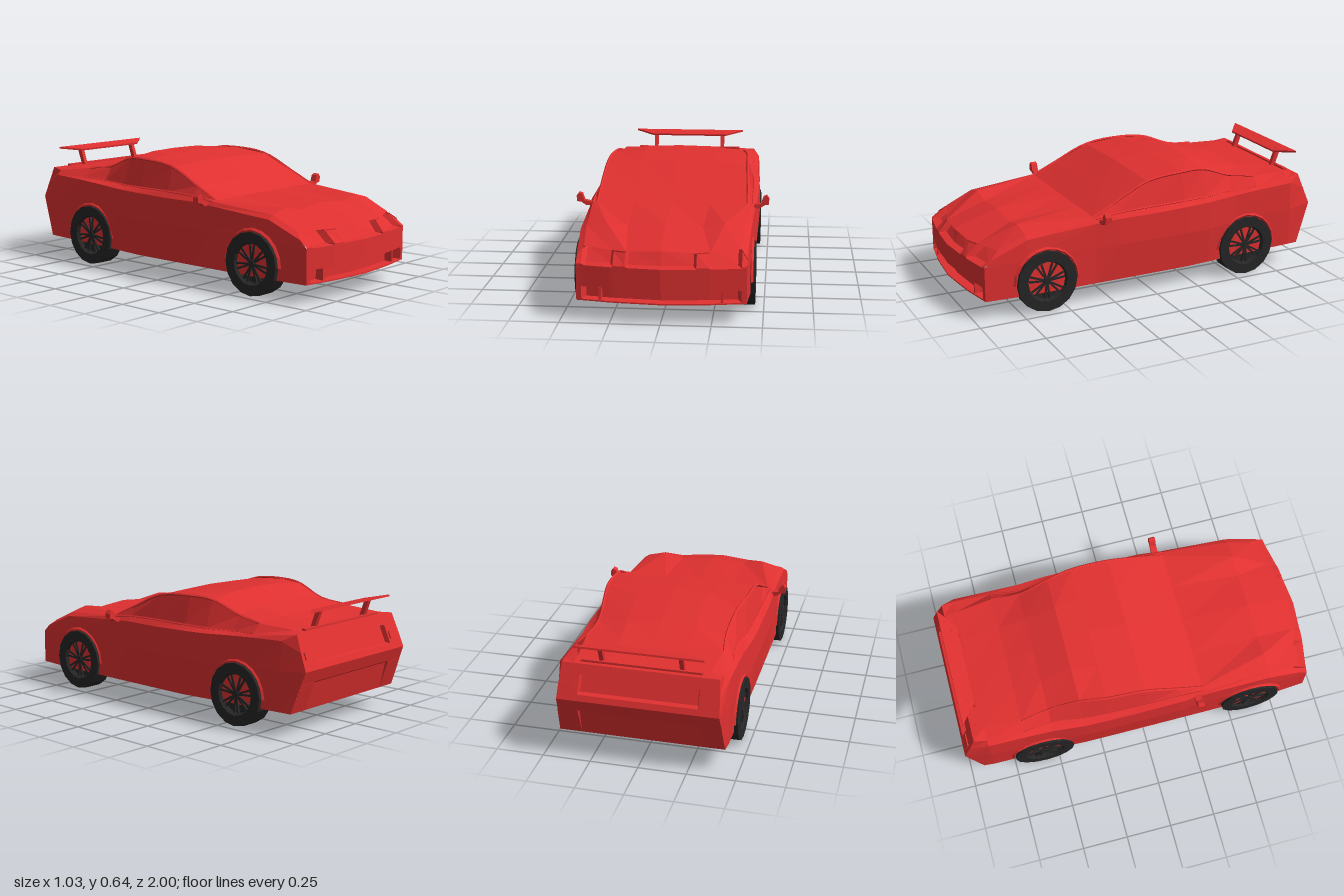
import * as THREE from 'three';

const paint = new THREE.MeshStandardMaterial({ color: 0xe03030, flatShading: true });
const rubber = new THREE.MeshStandardMaterial({ color: 0x262626, flatShading: true });

// Joins rows of [x, y, z] points into a faceted surface.
function grid(rows) {
  const pos = [];
  for (let i = 0; i < rows.length - 1; i++) {
    for (let j = 0; j < rows[i].length - 1; j++) {
      const a = rows[i][j], b = rows[i][j + 1], c = rows[i + 1][j + 1], d = rows[i + 1][j];
      pos.push(...a, ...d, ...c, ...a, ...c, ...b);
    }
  }
  const g = new THREE.BufferGeometry();
  g.setAttribute('position', new THREE.Float32BufferAttribute(pos, 3));
  g.computeVertexNormals();
  return g;
}

// Linear lookup in a list of [key, value...] rows with rising keys.
function lookup(list, k, n) {
  let i = 1;
  while (i < list.length - 1 && k > list[i][0]) i++;
  const p = list[i - 1], q = list[i];
  return p[n] + (q[n] - p[n]) * (k - p[0]) / (q[0] - p[0]);
}

const mirrorPoint = ([x, y, z]) => [-x, y, z];

// Half sections, front to back: sill, flank, shoulder, belt, roof edge, roof quarter, centre.
const SECTIONS = [
  [0.71, [0.437, 0.10], [0.437, 0.30], [0.43, 0.40], [0.40, 0.42], [0.30, 0.445], [0.19, 0.42], [0, 0.437]],
  [0.33, [0.44, 0.10], [0.442, 0.30], [0.44, 0.43], [0.425, 0.45], [0.40, 0.455], [0.20, 0.455], [0, 0.455]],
  [0.20, [0.44, 0.10], [0.455, 0.30], [0.45, 0.44], [0.425, 0.465], [0.396, 0.515], [0.20, 0.518], [0, 0.52]],
  [0.01, [0.44, 0.10], [0.457, 0.30], [0.452, 0.44], [0.425, 0.47], [0.387, 0.60], [0.20, 0.607], [0, 0.612]],
  [-0.20, [0.44, 0.10], [0.457, 0.30], [0.452, 0.445], [0.42, 0.47], [0.38, 0.62], [0.20, 0.63], [0, 0.635]],
  [-0.34, [0.44, 0.105], [0.455, 0.30], [0.45, 0.45], [0.41, 0.47], [0.357, 0.612], [0.18, 0.636], [0, 0.64]],
  [-0.51, [0.435, 0.11], [0.44, 0.31], [0.436, 0.46], [0.39, 0.475], [0.34, 0.55], [0.18, 0.575], [0, 0.58]],
  [-0.66, [0.435, 0.115], [0.438, 0.32], [0.435, 0.47], [0.41, 0.485], [0.36, 0.53], [0.18, 0.54], [0, 0.542]],
  [-0.86, [0.435, 0.12], [0.442, 0.33], [0.435, 0.48], [0.41, 0.505], [0.34, 0.52], [0.18, 0.522], [0, 0.522]],
];
// Front edge of the hood: x, y, z.
const HOOD_EDGE = [[0, 0.36, 0.95], [0.17, 0.35, 0.935], [0.24, 0.35, 0.91], [0.39, 0.355, 0.86], [0.42, 0.32, 0.90]];
// Plan curve of the front bumper: x, z.
const BUMPER = [[0, 0.995], [0.17, 0.98], [0.24, 0.973], [0.39, 0.945], [0.42, 0.94]];

function bodyShell() {
  const [c, q, e, g, s] = HOOD_EDGE;
  const nose = [[0, 0.10, 0.995], [0.42, 0.10, 0.94], [0.42, 0.28, 0.94], s, g, e, q, c];
  const tail = [[0, 0.12, -0.92], [0.43, 0.12, -0.92], [0.415, 0.34, -1], [0.408, 0.43, -0.964],
    [0.40, 0.515, -0.93], [0.34, 0.515, -0.93], [0.18, 0.515, -0.93], [0, 0.515, -0.93]];
  const middle = SECTIONS.map(([z, ...pts]) => [[0, pts[0][1], z], ...pts.map(([x, y]) => [x, y, z])]);
  const rings = [nose, ...middle, tail].map(h => [...h, ...h.slice(0, -1).reverse().map(mirrorPoint)]);
  return grid(rings);
}

// Front face with recessed grille, headlights and lower intake.
function frontFascia() {
  // x, upper recess depth, lower recess depth
  const half = [[0, 0.04, 0.05], [0.16, 0.04, 0.05], [0.175, 0, 0.05], [0.235, 0, 0.05], [0.25, 0.045, 0.05],
    [0.375, 0.045, 0.05], [0.395, 0, 0], [0.42, 0, 0]];
  const columns = half.map(([x, d, low]) => {
    const y = lookup(HOOD_EDGE, x, 1), z = lookup(HOOD_EDGE, x, 2), b = lookup(BUMPER, x, 1);
    return [[x, y, z], [x, y - 0.006, z - d], [x, 0.287, b - d], [x, 0.28, b], [x, 0.172, b],
      [x, 0.165, b - low], [x, 0.11, b - low], [x, 0.107, b], [x, 0.10, b]];
  });
  const all = [...columns.slice(1).reverse().map(col => col.map(mirrorPoint)), ...columns];
  return grid(columns[0].map((_, r) => all.map(col => col[r])));
}

// Rear face with recessed centre panel and bumper step.
function rearFascia() {
  // y, z, recess depth, half width
  const rows = [[0.515, -0.93, 0, 0.40], [0.465, -0.95, 0, 0.405], [0.46, -0.952, 0.025, 0.406],
    [0.375, -0.986, 0.025, 0.413], [0.37, -0.988, 0, 0.413], [0.34, -1, 0, 0.415], [0.275, -0.976, 0, 0.419],
    [0.265, -0.973, 0.012, 0.42], [0.12, -0.92, 0, 0.43]];
  const columns = [1, 0.75, 0.73, 0, -0.73, -0.75, -1];
  return grid(rows.map(([y, z, d, w]) =>
    columns.map(k => [k * w, y, z + (Math.abs(k) < 0.74 ? d : 0)])));
}

// Tyre with a sunken rim, hub and paired spokes; the outer face points to +y.
function wheel(name) {
  const g = new THREE.Group();
  g.name = name;
  const profile = [[0, -0.05], [0.165, -0.05], [0.165, 0.05], [0.11, 0.05], [0.098, 0.025], [0, 0.025]];
  const tyre = new THREE.Mesh(new THREE.LatheGeometry(profile.map(p => new THREE.Vector2(...p)), 16), rubber);
  tyre.name = 'tyre';
  g.add(tyre);
  const hub = new THREE.Mesh(new THREE.CylinderGeometry(0.02, 0.024, 0.02, 8), rubber);
  hub.name = 'hub';
  hub.position.y = 0.034;
  g.add(hub);
  for (let i = 0; i < 7; i++) {
    for (const k of [-0.14, 0.14]) {
      const a = i * Math.PI * 2 / 7 + k;
      const spoke = new THREE.Mesh(new THREE.BoxGeometry(0.085, 0.014, 0.01), rubber);
      spoke.name = 'spoke';
      spoke.position.set(Math.cos(a) * 0.057, 0.032, -Math.sin(a) * 0.057);
      spoke.rotation.y = a;
      g.add(spoke);
    }
  }
  return g;
}

export function createModel() {
  const car = new THREE.Group();
  car.name = 'car';
  const add = (name, geometry, x = 0, y = 0, z = 0) => {
    const m = new THREE.Mesh(geometry, paint);
    m.name = name;
    m.position.set(x, y, z);
    car.add(m);
    return m;
  };
  add('bodyShell', bodyShell());
  add('frontFascia', frontFascia());
  add('rearFascia', rearFascia());

  // Rear wing: a thin blade, wider at its trailing edge, on two struts
  const blade = new THREE.BoxGeometry(0.66, 0.01, 0.085);
  const p = blade.attributes.position;
  for (let i = 0; i < p.count; i++) {
    if (p.getZ(i) > 0) p.setX(i, p.getX(i) * 0.68);
  }
  add('wingBlade', blade, 0, 0.612, -0.918).rotation.x = 0.17;
  add('bootLip', new THREE.BoxGeometry(0.62, 0.012, 0.02), 0, 0.522, -0.90);

  // Mirror outline in the front plane
  const outline = [[0.435, 0.43], [0.462, 0.428], [0.49, 0.447], [0.512, 0.45], [0.515, 0.48], [0.502, 0.498],
    [0.485, 0.49], [0.472, 0.455], [0.435, 0.448]].map(q => new THREE.Vector2(...q));

  for (const side of [1, -1]) {
    const label = side > 0 ? 'left' : 'right';
    const strut = add(label + 'WingStrut', new THREE.BoxGeometry(0.022, 0.10, 0.025), side * 0.205, 0.565, -0.898);
    strut.rotation.x = -0.35;

    const shape = new THREE.Shape(outline.map(v => new THREE.Vector2(v.x * side, v.y)));
    add(label + 'Mirror', new THREE.ExtrudeGeometry(shape, { depth: 0.035, bevelEnabled: false }), 0, 0, 0.275);

    // Rail along the roof edge, from windscreen base to rear pillar
    const rail = SECTIONS.slice(1, 8).map(([z, ...s]) => new THREE.Vector3(side * (s[4][0] + 0.001), s[4][1], z));
    add(label + 'RoofRail', new THREE.TubeGeometry(new THREE.CatmullRomCurve3(rail), 20, 0.007, 4));

    // Sill under the side window
    const belt = SECTIONS.slice(1, 8).map(([z, ...s]) => new THREE.Vector3(side * s[3][0], s[3][1], z));
    add(label + 'WindowSill', new THREE.TubeGeometry(new THREE.CatmullRomCurve3(belt), 20, 0.006, 4));

    // Uprights in the lower intake and small tail lamps
    add(label + 'IntakeUpright', new THREE.BoxGeometry(0.012, 0.062, 0.05), side * 0.30, 0.138, 0.93);
    add(label + 'TailLamp', new THREE.BoxGeometry(0.07, 0.04, 0.015), side * 0.355, 0.41, -0.971).rotation.x = 0.38;

    for (const [end, z] of [['Front', 0.61], ['Rear', -0.575]]) {
      const w = wheel(label + end + 'Wheel');
      w.position.set(side * 0.405, 0.165, z);
      w.rotation.z = -side * Math.PI / 2;
      car.add(w);
      const arch = add(label + end + 'Arch', new THREE.TorusGeometry(0.174, 0.011, 4, 10, Math.PI), side * 0.436, 0.165, z);
      arch.rotation.y = Math.PI / 2;
    }
  }
  return car;
}
